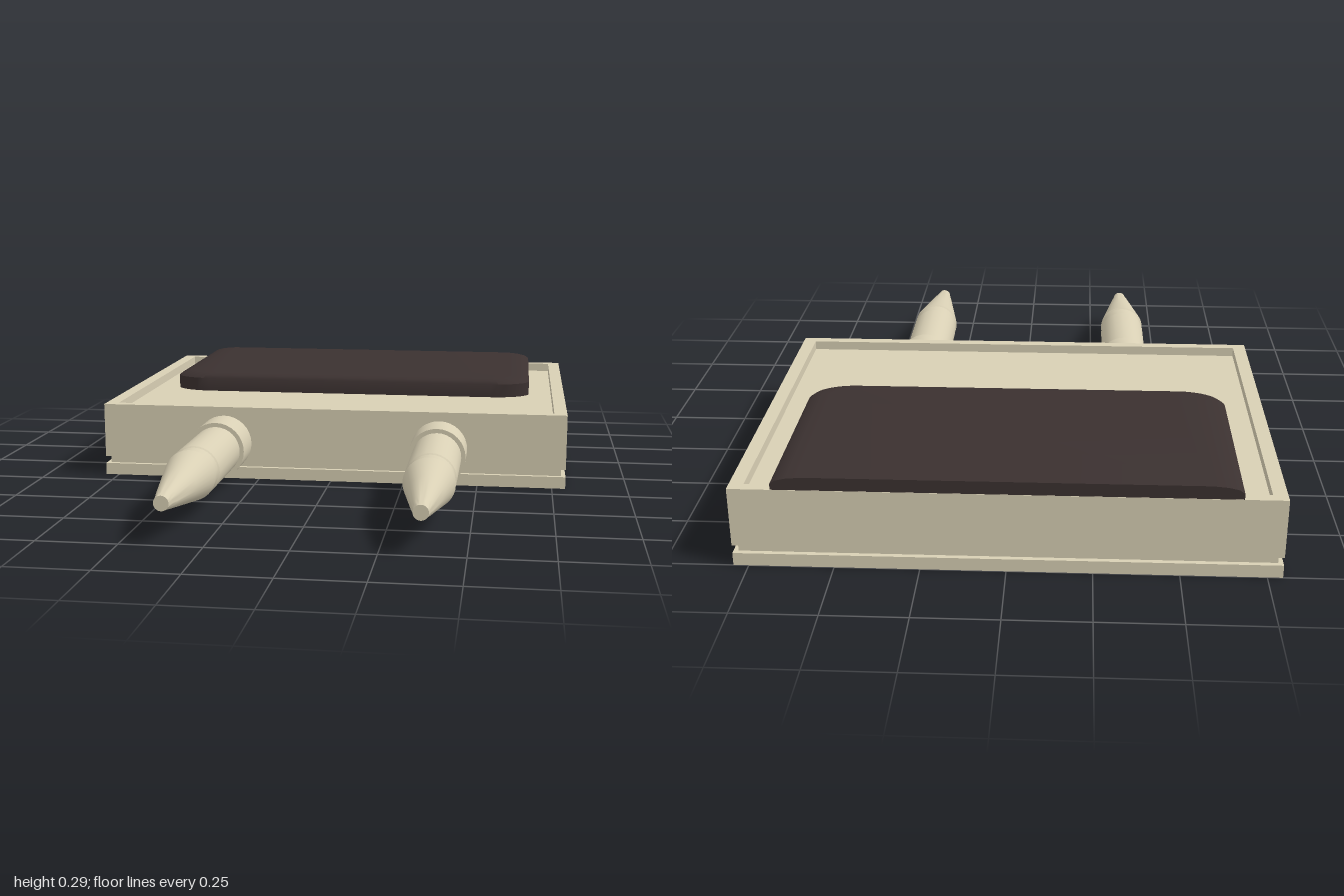
import * as THREE from 'three';
import { toCreasedNormals } from 'three/addons/utils/BufferGeometryUtils.js';

const beige = new THREE.MeshStandardMaterial({ color: 0xd8cfb4 });
const dark = new THREE.MeshStandardMaterial({ color: 0x3b3130 });
const W = 1.59, D = 1.17, CZ = -0.415;

function add(parent, name, geometry, material = beige) {
  const mesh = new THREE.Mesh(geometry, material);
  mesh.name = name;
  parent.add(mesh);
  return mesh;
}

function rectangle(path, w, d) {
  path.moveTo(-w / 2, -d / 2);
  path.lineTo(w / 2, -d / 2);
  path.lineTo(w / 2, d / 2);
  path.lineTo(-w / 2, d / 2);
  path.closePath();
  return path;
}

// Rectangular rim standing between two heights
function rim(y0, y1, insetX, insetZ) {
  const shape = rectangle(new THREE.Shape(), W, D);
  shape.holes.push(rectangle(new THREE.Path(), W - 2 * insetX, D - 2 * insetZ));
  return new THREE.ExtrudeGeometry(shape, { depth: y1 - y0, bevelEnabled: false })
    .rotateX(-Math.PI / 2).translate(0, y0, CZ);
}

function slab(w, d, y0, y1) {
  return new THREE.BoxGeometry(w, y1 - y0, d).translate(0, (y0 + y1) / 2, CZ);
}

// Pad: square back, rounded front corners, softened top on the front and sides
function padGeometry() {
  const layers = [[0.22, 0], [0.268, 0], [0.279, 0.015], [0.286, 0.045], [0.29, 0.09]];
  const steps = 8, back = -0.999;
  const positions = [], indices = [];
  for (const [y, inset] of layers) {
    const hw = 0.67 - inset, front = -0.313 - inset * 0.55;
    const rx = 0.14 - inset * 0.6, rz = 0.09 - inset * 0.4;
    positions.push(-hw, y, back);
    for (const side of [-1, 1]) {
      for (let i = 0; i <= steps; i++) {
        const t = (side < 0 ? i : steps - i) / steps * Math.PI / 2;
        positions.push(side * (hw - rx + rx * Math.cos(t)), y, front - rz + rz * Math.sin(t));
      }
    }
    positions.push(hw, y, back);
  }
  const n = positions.length / 3 / layers.length;
  for (let r = 0; r < layers.length - 1; r++) {
    for (let i = 0; i < n; i++) {
      const a = r * n + i, b = r * n + (i + 1) % n;
      indices.push(a, b, b + n, a, b + n, a + n);
    }
  }
  // Top and bottom caps
  const top = (layers.length - 1) * n;
  for (let i = 1; i < n - 1; i++) {
    indices.push(top, top + i, top + i + 1, 0, i + 1, i);
  }
  const geometry = new THREE.BufferGeometry();
  geometry.setAttribute('position', new THREE.Float32BufferAttribute(positions, 3));
  geometry.setIndex(indices);
  return toCreasedNormals(geometry, 0.7);
}

// Turned prong: collar, shaft, shallow neck and tapered tip along +z
function prongGeometry() {
  const profile = [
    [0, 0.15], [0.095, 0.15], [0.095, 0.3], [0.081, 0.3], [0.081, 0.6], [0.077, 0.605],
    [0.077, 0.655], [0.081, 0.66], [0.057, 0.8], [0.033, 0.94], [0.027, 0.97], [0.023, 1], [0, 1],
  ].map(([r, z]) => new THREE.Vector2(r, z));
  return toCreasedNormals(new THREE.LatheGeometry(profile, 32).rotateX(Math.PI / 2), 0.5);
}

export function createModel() {
  const model = new THREE.Group();
  model.name = 'twoProngBlock';

  // Upper body: tray with a raised rim
  const body = new THREE.Group();
  body.name = 'body';
  model.add(body);
  add(body, 'bodyBlock', slab(W, D, 0.065, 0.22));
  add(body, 'topRim', rim(0.22, 0.25, 0.043, 0.033));

  // Recessed seam and base
  add(body, 'seam', slab(W - 0.03, D - 0.03, 0.04, 0.065));
  add(body, 'baseRim', rim(0, 0.04, 0.04, 0.04));
  add(body, 'basePlate', slab(W - 0.08, D - 0.08, 0.015, 0.04));

  add(model, 'gripPad', padGeometry(), dark);

  // Mirrored pair of prongs
  const prong = prongGeometry();
  for (const side of [-1, 1]) {
    add(model, side > 0 ? 'leftProng' : 'rightProng', prong).position.set(side * 0.37, 0.125, 0);
  }
  return model;
}
